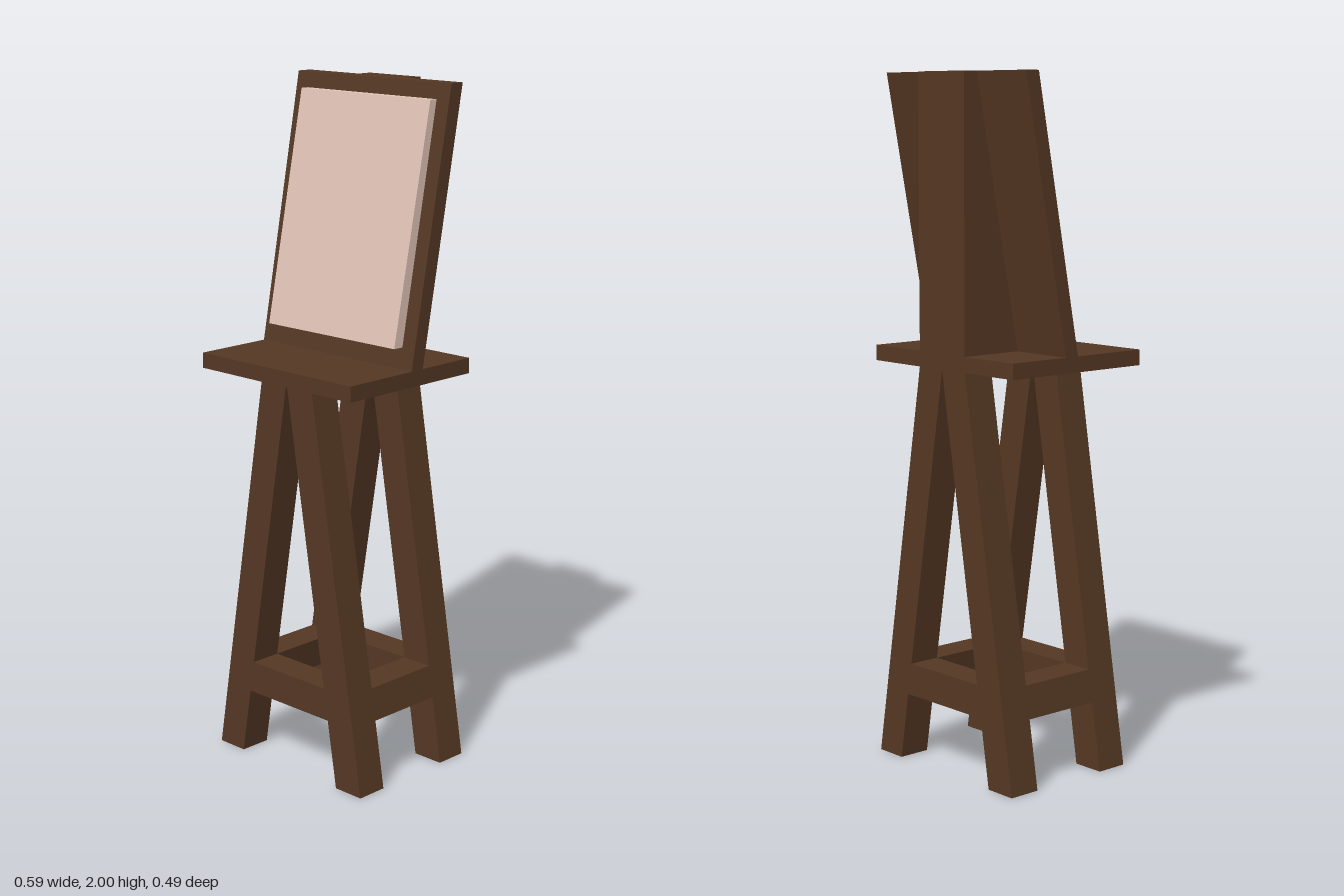
import * as THREE from 'three';

export function createModel() {
  const model = new THREE.Group();
  model.name = 'easel';
  const wood = new THREE.MeshStandardMaterial({ color: 0x543723 });
  wood.name = 'dark wood';
  const paper = new THREE.MeshStandardMaterial({ color: 0xe0c2b5 });
  paper.name = 'pale paper';

  const add = (name, geometry, material) => {
    const mesh = new THREE.Mesh(geometry, material);
    mesh.name = name;
    model.add(mesh);
  };
  const extrude = (points, depth) => new THREE.ExtrudeGeometry(
    new THREE.Shape(points.map(([a, b]) => new THREE.Vector2(a, b))),
    { depth, bevelEnabled: false });

  // Outline in x/y, extruded from z0 to z1
  const frontPart = (name, points, z0, z1) =>
    add(name, extrude(points, z1 - z0).translate(0, 0, z0), wood);
  // Outline in z/y, extruded across a centred width
  const sidePart = (name, points, width, material) =>
    add(name, extrude(points, width).translate(0, 0, -width / 2).rotateY(-Math.PI / 2), material);

  const shelfBottom = 1.175, shelfTop = 1.22, top = 2, back = -0.243;
  const railBottom = 0.2, railTop = 0.295;
  const outer = y => 0.293 - 0.195 * y / shelfBottom;
  const inner = y => 0.195 * (1 - y / shelfBottom);
  const slanted = (s, y0, y1) => [
    [s * inner(y0), y0], [s * outer(y0), y0], [s * outer(y1), y1], [s * inner(y1), y1]];

  // Two A-shaped leg pairs, each with a flush cross rail
  for (const [end, z0, z1] of [['front', 0.1, 0.196], ['back', back, -0.146]]) {
    frontPart(end + 'LeftLeg', slanted(1, 0, shelfBottom), z0, z1);
    frontPart(end + 'RightLeg', slanted(-1, 0, shelfBottom), z0, z1);
    frontPart(end + 'Rail', [
      [-inner(railBottom), railBottom], [inner(railBottom), railBottom],
      [inner(railTop), railTop], [-inner(railTop), railTop]], z0, z1);
  }

  // Side rails joining the front and back legs
  frontPart('leftRail', slanted(1, railBottom, railTop), -0.146, 0.1);
  frontPart('rightRail', slanted(-1, railBottom, railTop), -0.146, 0.1);

  // Shelf
  add('shelf', new THREE.BoxGeometry(0.592, shelfTop - shelfBottom, 0.486)
    .translate(0, (shelfTop + shelfBottom) / 2, 0), wood);

  // Leaning board and the wedge-shaped spine behind it
  const boardZ = y => -0.15 * (y - shelfTop) / (top - shelfTop);
  sidePart('board', [
    [boardZ(shelfTop), shelfTop], [boardZ(top), top],
    [boardZ(top) - 0.046, top], [boardZ(shelfTop) - 0.046, shelfTop]], 0.592, wood);
  sidePart('spine', [
    [boardZ(shelfTop) - 0.046, shelfTop], [boardZ(top) - 0.046, top],
    [back, top], [back, shelfTop]], 0.195, wood);

  // Canvas on the face of the board
  sidePart('canvas', [
    [boardZ(1.28), 1.28], [0.022, 1.28], [-0.116, 1.955], [boardZ(1.955), 1.955]], 0.5, paper);

  return model;
}
